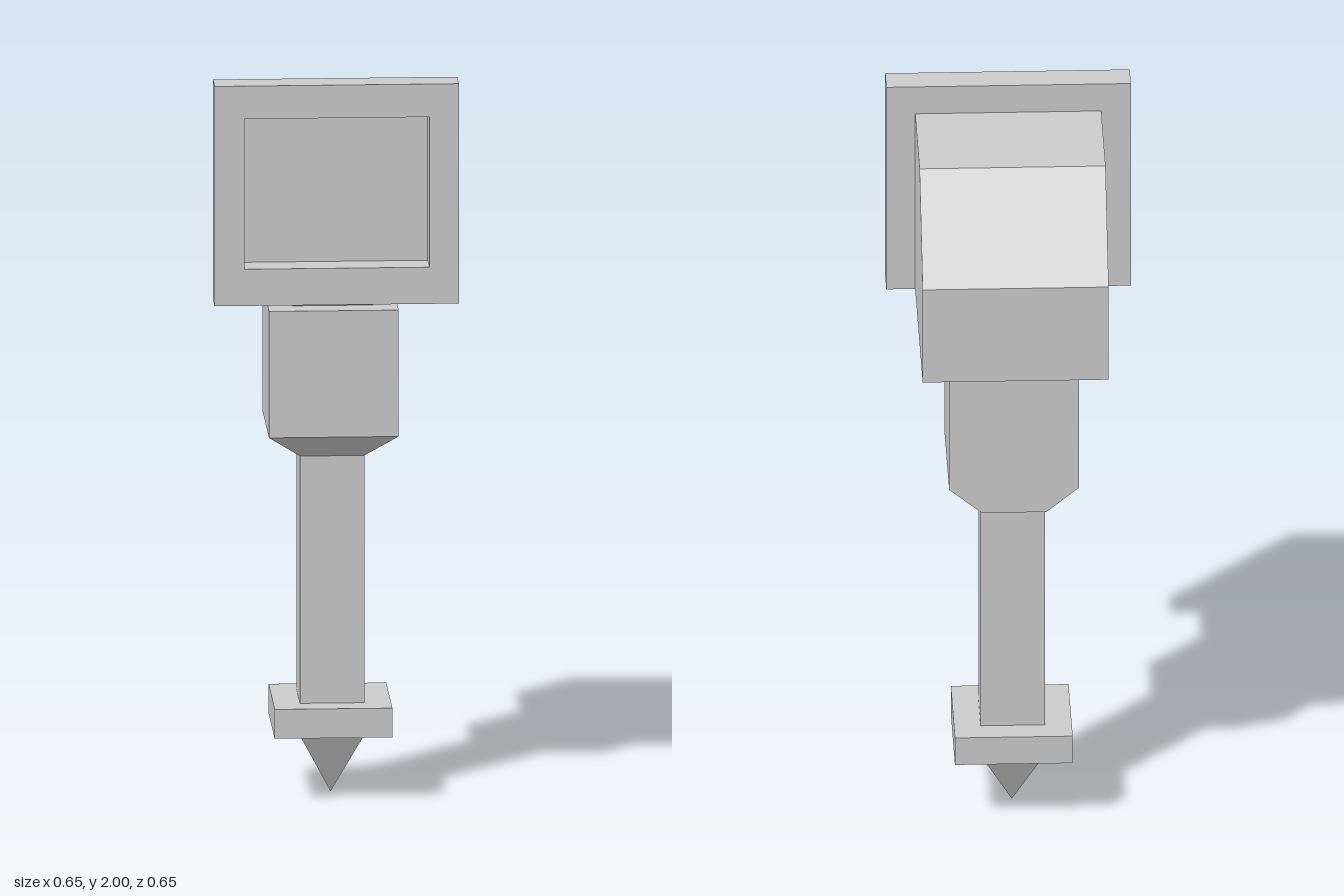
import * as THREE from 'three';

const material = new THREE.MeshStandardMaterial({ color: 0xcccccc, flatShading: true });

// Four-sided block between two rectangles; each rectangle is [halfWidth, zBack, zFront].
function taperedBlock(y0, y1, bottom, top) {
  const geo = new THREE.BoxGeometry(2, 1, 2);
  const p = geo.attributes.position;
  for (let i = 0; i < p.count; i++) {
    const up = p.getY(i) > 0;
    const [hw, zb, zf] = up ? top : bottom;
    p.setXYZ(i, p.getX(i) * hw, up ? y1 : y0, p.getZ(i) > 0 ? zf : zb);
  }
  geo.computeVertexNormals();
  return geo;
}

const square = (h) => [h, -h, h];
const straightBlock = (y0, y1, h) => taperedBlock(y0, y1, square(h), square(h));

function rectangle(Type, hw, y0, y1) {
  return new Type([[-hw, y0], [hw, y0], [hw, y1], [-hw, y1]].map(([x, y]) => new THREE.Vector2(x, y)));
}

// Head with a sloped upper back, extruded sideways from its side outline
function headGeometry() {
  const outline = [[-0.24, 1.4], [0.325, 1.4], [0.325, 1.675], [0.092, 1.92], [-0.24, 1.92]];
  const shape = new THREE.Shape(outline.map(([u, y]) => new THREE.Vector2(u, y)));
  const geo = new THREE.ExtrudeGeometry(shape, { depth: 0.496, bevelEnabled: false });
  return geo.rotateY(Math.PI / 2).translate(-0.247, 0, 0);
}

// Front frame with a rectangular opening
function frameGeometry() {
  const shape = rectangle(THREE.Shape, 0.326, 1.4, 2);
  shape.holes.push(rectangle(THREE.Path, 0.247, 1.5, 1.91));
  return new THREE.ExtrudeGeometry(shape, { depth: 0.085, bevelEnabled: false }).translate(0, 0, 0.24);
}

// Downward square point
function tipGeometry() {
  const geo = new THREE.ConeGeometry(0.09 * Math.SQRT2, 0.18, 4);
  return geo.rotateY(Math.PI / 4).rotateX(Math.PI).translate(0, 0.09, 0);
}

export function createModel() {
  const model = new THREE.Group();
  model.name = 'postWithHead';

  const parts = {
    tip: tipGeometry(),
    footPlate: straightBlock(0.18, 0.26, 0.157),
    post: straightBlock(0.26, 0.935, 0.086),
    // Tapers on the front and sides, straight at the back
    lowerCollar: taperedBlock(0.935, 1.005, [0.086, -0.173, 0.086], square(0.173)),
    body: straightBlock(1.005, 1.35, 0.173),
    neck: taperedBlock(1.35, 1.4, square(0.107), square(0.167)),
    head: headGeometry(),
    frontFrame: frameGeometry(),
  };

  for (const [name, geometry] of Object.entries(parts)) {
    const mesh = new THREE.Mesh(geometry, material);
    mesh.name = name;
    model.add(mesh);
  }
  return model;
}
